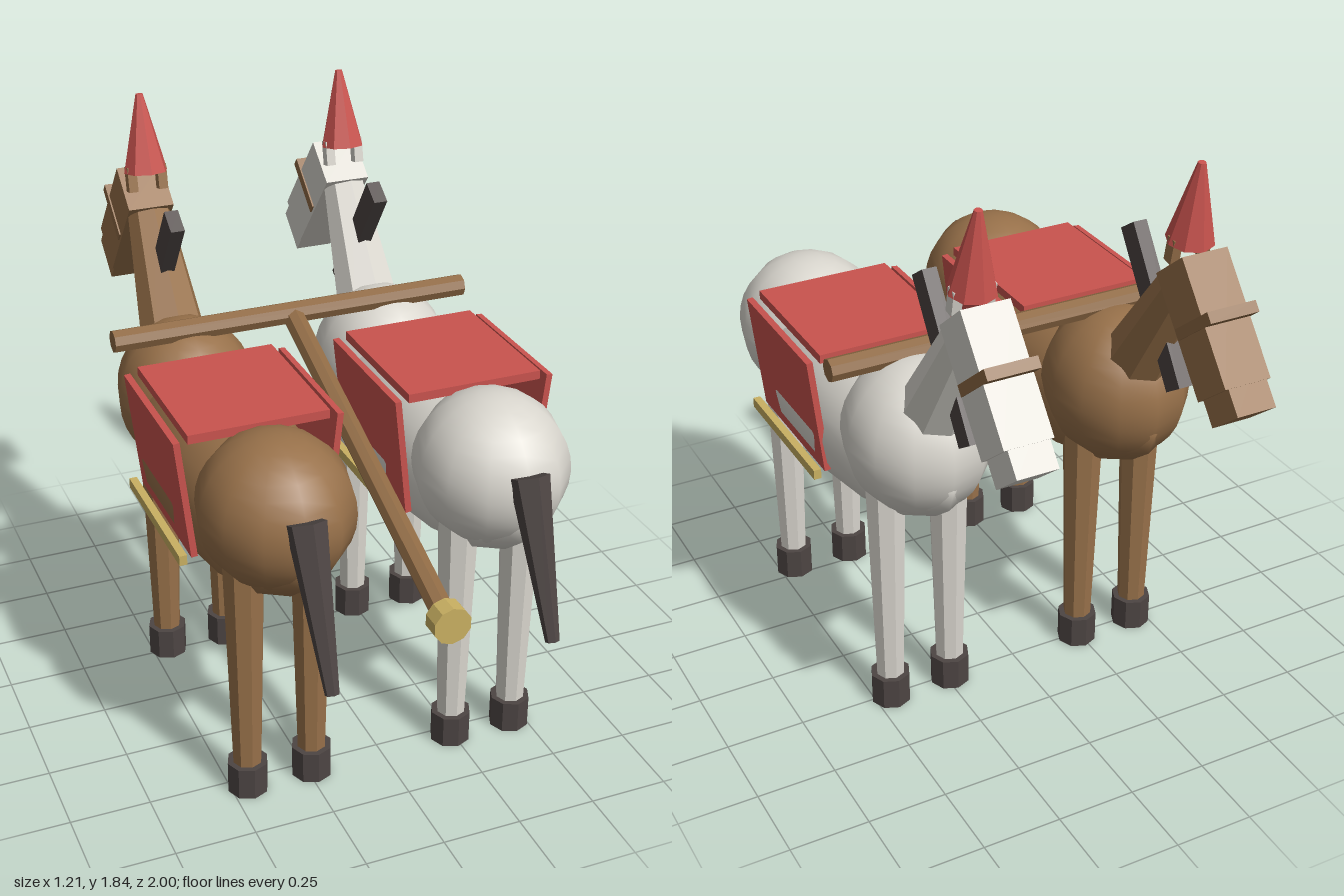
import * as THREE from 'three';

const material = (name, color, flatShading = false) => {
  const m = new THREE.MeshStandardMaterial({ color });
  m.name = name;
  m.flatShading = flatShading;
  return m;
};

export function createModel() {
  const white = material('off white', 0xd9d6ce);
  const brown = material('chestnut brown', 0x98714a);
  const wood = material('wood', 0x8f6a44);
  const red = material('red cloth', 0xc9534e);
  const dark = material('dark hair and hoof', 0x4d4543);
  const gold = material('gold', 0xc9b062);

  const add = (parent, name, geometry, mat, x, y, z, tilt = 0) => {
    const mesh = new THREE.Mesh(geometry, mat);
    mesh.name = name;
    mesh.position.set(x, y, z);
    mesh.rotation.x = tilt;
    parent.add(mesh);
    return mesh;
  };
  const box = (w, h, d) => new THREE.BoxGeometry(w, h, d);
  // faceted tapered rod
  const rod = (rTop, rBottom, h, sides = 8) => {
    const g = new THREE.CylinderGeometry(rTop, rBottom, h, sides).toNonIndexed();
    g.computeVertexNormals();
    return g;
  };
  // rod between two points in the plane x = const
  const rodBetween = (parent, name, mat, x, [z0, y0, r0], [z1, y1, r1], sides) =>
    add(parent, name, rod(r1, r0, Math.hypot(z1 - z0, y1 - y0), sides), mat,
      x, (y0 + y1) / 2, (z0 + z1) / 2, Math.atan2(z1 - z0, y1 - y0));
  const ellipsoid = (rx, ry, rz, w, h, turn = 0) =>
    new THREE.SphereGeometry(1, w, h).rotateY(turn).scale(rx, ry, rz);

  function buildHorse(name, coat) {
    const horse = new THREE.Group();
    horse.name = name;

    // body
    add(horse, 'belly', ellipsoid(0.239, 0.257, 0.64, 14, 10, Math.PI / 2), coat, 0, 0.885, 0.13);
    add(horse, 'rump', ellipsoid(0.234, 0.235, 0.252, 12, 16), coat, 0, 0.965, 0.53);
    add(horse, 'chest', ellipsoid(0.225, 0.248, 0.25, 12, 16), coat, 0, 0.965, -0.27);

    // legs and hooves
    for (const x of [-0.105, 0.105]) {
      for (const z of [-0.26, 0.54]) {
        add(horse, 'leg', rod(0.066, 0.045, 0.78), coat, x, 0.48, z);
        add(horse, 'hoof', rod(0.064, 0.064, 0.105), dark, x, 0.0525, z);
      }
    }

    // neck, head and hair
    rodBetween(horse, 'neck', coat, 0, [-0.395, 1.11, 0.108], [-0.61, 1.452, 0.071], 8);
    add(horse, 'mane', box(0.045, 0.505, 0.08), dark, 0, 1.315, -0.478, 0.6);
    add(horse, 'head', box(0.15, 0.385, 0.16), coat, 0, 1.385, -0.763, 0.69);
    add(horse, 'muzzle', box(0.127, 0.16, 0.146), coat, 0, 1.238, -0.89, 0.69);
    add(horse, 'noseband', box(0.16, 0.034, 0.194), wood, 0, 1.406, -0.78, 0.69);
    for (const x of [-0.05, 0.05]) {
      add(horse, 'ear', box(0.03, 0.08, 0.035), coat, x, 1.57, -0.622, -0.2);
    }
    rodBetween(horse, 'plume', red, 0, [-0.627, 1.59, 0.072], [-0.662, 1.837, 0.012], 8);
    rodBetween(horse, 'tail', dark, 0, [0.959, 0.6, 0.021], [0.766, 1.045, 0.06], 6);

    // blanket with leaning side panels and trim
    add(horse, 'blanketTop', box(0.435, 0.028, 0.48), red, 0, 1.166, 0.17);
    for (const side of [-1, 1]) {
      const panel = add(horse, 'blanketSide', box(0.02, 0.385, 0.48), red, side * 0.23, 0.97, 0.17);
      panel.rotation.z = -side * 0.11;
      add(horse, 'blanketTrim', box(0.024, 0.032, 0.5), gold, side * 0.247, 0.78, 0.17);
    }
    return horse;
  }

  const model = new THREE.Group();
  model.name = 'horsePair';
  for (const [name, coat, x] of [['brownHorse', brown, -0.343], ['whiteHorse', white, 0.343]]) {
    const horse = buildHorse(name, coat);
    horse.position.x = x;
    model.add(horse);
  }

  // yoke, draught pole and end cap
  add(model, 'yoke', rod(0.036, 0.036, 1.19).rotateZ(Math.PI / 2), wood, 0, 1.208, -0.212);
  rodBetween(model, 'pole', wood, 0, [0.96, 0.76, 0.036], [-0.21, 1.2, 0.036], 8);
  add(model, 'poleCap', rod(0.058, 0.058, 0.06, 10).rotateX(Math.PI / 2), gold, 0, 0.764, 0.97);
  return model;
}
